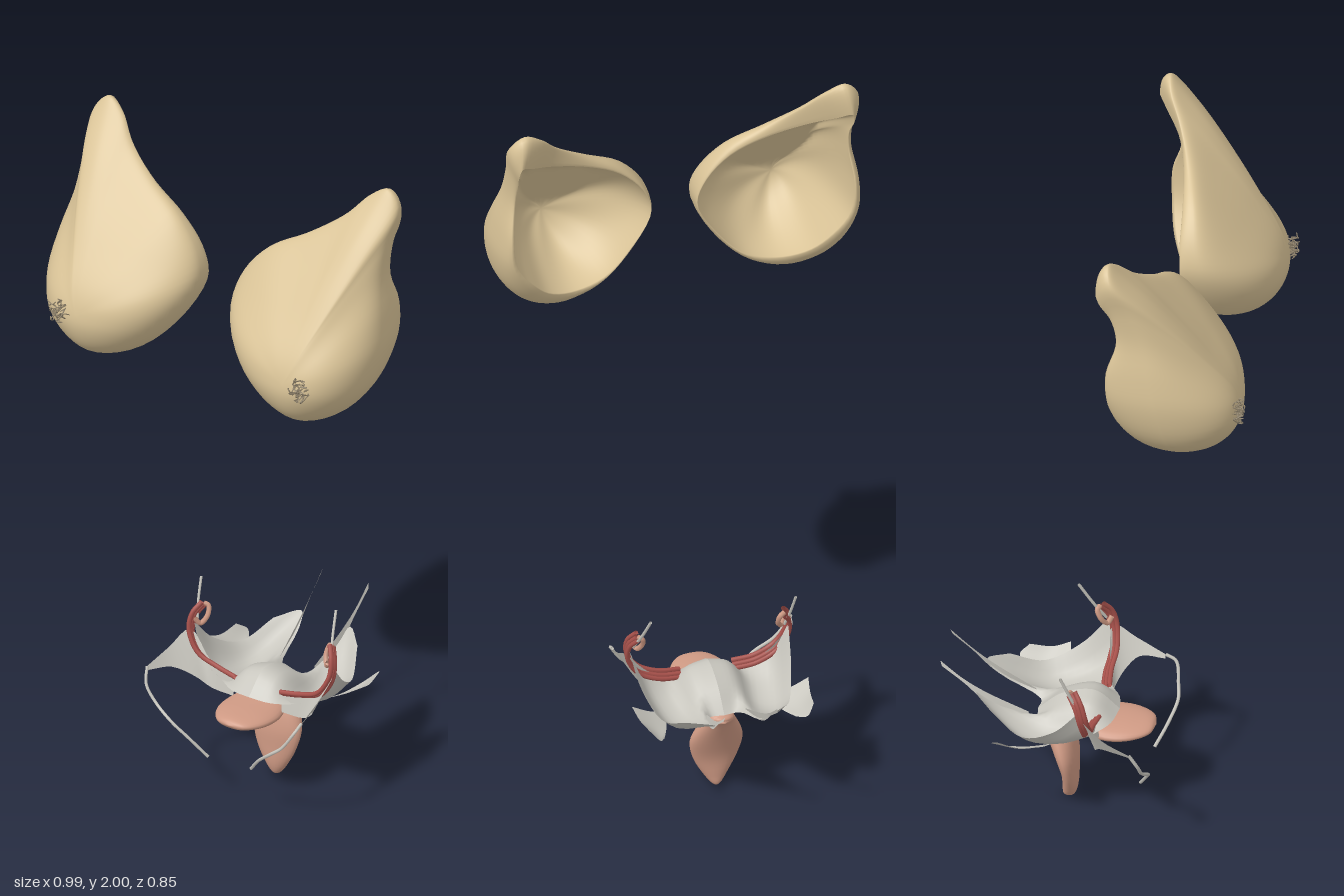
import * as THREE from 'three';
import { mergeVertices } from 'three/addons/utils/BufferGeometryUtils.js';

const V = (p) => new THREE.Vector3(...p);
const mat = (color) => new THREE.MeshStandardMaterial({ color, side: THREE.DoubleSide });
const tan = mat(0xd9c397), duct = mat(0x8d8069), sheet = mat(0xc8c6be);
const salmon = mat(0xcf9a84), red = mat(0xa9524c);
const MID = -0.03; // midline of the lower organs

function mesh(name, geometry, material) {
  const m = new THREE.Mesh(geometry, material);
  m.name = name;
  return m;
}

// Smooth surface from a grid of rows of Vector3
function surface(rows) {
  const n = rows[0].length, pos = [], idx = [];
  rows.forEach((r) => r.forEach((p) => pos.push(p.x, p.y, p.z)));
  for (let i = 0; i < rows.length - 1; i++) {
    for (let j = 0; j < n - 1; j++) {
      const a = i * n + j, b = a + n;
      idx.push(a, a + 1, b, b, a + 1, b + 1);
    }
  }
  let g = new THREE.BufferGeometry();
  g.setAttribute('position', new THREE.Float32BufferAttribute(pos, 3));
  g.setIndex(idx);
  g = mergeVertices(g, 1e-5);
  g.computeVertexNormals();
  return g;
}

// Spline patch through a coarse grid of control points
function patch(ctrl, nu = 14, nv = 16) {
  const rows = ctrl.map((r) => new THREE.CatmullRomCurve3(r.map(V)).getPoints(nu));
  return surface(rows[0].map((_, j) => new THREE.CatmullRomCurve3(rows.map((r) => r[j])).getPoints(nv)));
}

// Closed body through ellipses [x, y, z, rx, r2]; r2 lies along y or z
function loft(sections, across) {
  const rows = [];
  for (let k = 0; k <= 28; k++) {
    const a = (k / 28) * Math.PI * 2;
    const line = sections.map(([x, y, z, rx, r2]) => {
      const s = Math.sin(a) * r2;
      return V([x + Math.cos(a) * rx, y + (across === 'y' ? s : 0), z + (across === 'z' ? s : 0)]);
    });
    rows.push(new THREE.CatmullRomCurve3(line).getPoints(32));
  }
  return surface(rows);
}

const tube = (pts, r, seg = 24) =>
  new THREE.TubeGeometry(new THREE.CatmullRomCurve3(pts.map(V)), seg, r, 6);

// Gland: widest outline (x, y, z) paired with the rim of its hollow back (x, y, z)
const GLAND = [
  [0.432, 2.0, 0.075, 0.445, 1.92, 0.045],
  [0.47, 1.96, 0.085, 0.452, 1.89, 0.055],
  [0.464, 1.87, 0.125, 0.447, 1.84, 0.085],
  [0.465, 1.78, 0.16, 0.45, 1.77, 0.1],
  [0.485, 1.68, 0.19, 0.46, 1.68, 0.075],
  [0.493, 1.59, 0.21, 0.45, 1.59, 0.075],
  [0.47, 1.49, 0.23, 0.40, 1.515, 0.09],
  [0.41, 1.415, 0.24, 0.345, 1.46, 0.12],
  [0.32, 1.377, 0.25, 0.27, 1.435, 0.15],
  [0.215, 1.41, 0.25, 0.19, 1.455, 0.162],
  [0.12, 1.50, 0.24, 0.12, 1.525, 0.17],
  [0.058, 1.63, 0.22, 0.063, 1.63, 0.17],
  [0.075, 1.71, 0.205, 0.085, 1.705, 0.165],
  [0.14, 1.79, 0.19, 0.15, 1.775, 0.16],
  [0.24, 1.85, 0.16, 0.245, 1.825, 0.145],
  [0.33, 1.915, 0.12, 0.345, 1.865, 0.115],
  [0.385, 1.975, 0.085, 0.41, 1.9, 0.07],
];

// Foremost depth of the gland, as (height, depth)
const FRONT = new THREE.SplineCurve([[1.3, 0.41], [1.45, 0.41], [1.53, 0.408], [1.6, 0.385], [1.7, 0.32],
  [1.8, 0.255], [1.9, 0.19], [2.0, 0.11]].map((p) => new THREE.Vector2(...p))).getPoints(140);
const frontAt = (y) => {
  const i = Math.max(1, FRONT.findIndex((p) => p.x >= y));
  const a = FRONT[i - 1], b = FRONT[i];
  return THREE.MathUtils.mapLinear(Math.min(y, 2), a.x, b.x, a.y, b.y);
};

function gland(side) {
  const N = 72, closed = (o) =>
    new THREE.CatmullRomCurve3(GLAND.map((p) => V(p.slice(o, o + 3))), true).getPoints(N);
  const outer = closed(0), rim = closed(3);
  const apex = V([0.32, 1.54, 0.41]), pit = V([0.31, 1.58, 0.34]);
  const tail = (o) => THREE.MathUtils.smoothstep(o.y, 1.7, 2.0);
  const rows = [];
  // front dome
  for (let k = 0; k <= 28; k++) {
    const s = Math.sin((k / 28) * Math.PI / 2);
    rows.push(outer.map((o) => {
      const p = apex.clone().lerp(o, s);
      const h = Math.sqrt(Math.max(0, 1 - Math.pow(s, 2.4 + 1.6 * tail(o))));
      p.z = o.z + (Math.max(frontAt(p.y), o.z) - o.z) * h;
      return p;
    }));
  }
  // side wall rolling back to the rim
  for (let k = 1; k <= 8; k++) {
    const t = k / 8;
    rows.push(outer.map((o, j) => {
      const p = o.clone().lerp(rim[j], t * t);
      p.z = o.z + (rim[j].z - o.z) * Math.sin(t * Math.PI / 2);
      return p;
    }));
  }
  // hollow back with faint folds
  for (let k = 1; k <= 20; k++) {
    const s = Math.cos((k / 20) * Math.PI / 2);
    rows.push(rim.map((r, j) => {
      const p = pit.clone().lerp(r, s);
      const fold = 0.03 * Math.sin((j / N) * Math.PI * 18) * s * s * (1 - s);
      p.z = r.z + (pit.z - r.z) * Math.pow(1 - s * s, 0.7 + 0.5 * tail(r)) + fold;
      p.z = Math.min(p.z, frontAt(p.y) - 0.045);
      return p;
    }));
  }
  rows.forEach((r) => r.forEach((p) => { p.x *= side; }));
  const g = new THREE.Group();
  g.name = side > 0 ? 'leftGland' : 'rightGland';
  g.add(mesh('glandShell', surface(rows), tan));

  // tangle of fine ducts at the tip
  let seed = 7;
  const rnd = () => ((seed = (seed * 16807) % 2147483647) / 2147483647) - 0.5;
  for (let i = 0; i < 20; i++) {
    const a = i * 2.4, r = 0.006 + 0.024 * (i / 20);
    const c = [0.372 + Math.cos(a) * r, 1.535 + Math.sin(a) * r, 0.408];
    const pts = [0, 1, 2, 3].map(() =>
      [side * (c[0] + rnd() * 0.022), c[1] + rnd() * 0.022, c[2] + rnd() * 0.03]);
    g.add(mesh('duct', tube(pts, 0.0016, 14), duct));
  }
  return g;
}

// Everything paired on one side of the midline; points are given as distance from it
function wing(side, tip, cord, thread) {
  const at = ([d, y, z]) => [MID + side * d, y, z];
  const grid = (rows) => patch(rows.map((r) => r.map(at)));
  const g = new THREE.Group();
  g.name = side > 0 ? 'leftWing' : 'rightWing';

  g.add(mesh('broadSheet', grid([
    [[0, 0.295, 0.03], [0, 0.345, -0.035], [0, 0.325, -0.12], [0, 0.268, -0.185]],
    [[0.06, 0.29, 0.018], [0.055, 0.33, -0.04], [0.05, 0.31, -0.12], [0.038, 0.27, -0.185]],
    [[0.115, 0.29, -0.015], [0.105, 0.272, -0.08], [0.09, 0.262, -0.16], [0.06, 0.32, -0.3]],
    [[0.175, 0.325, -0.022], [0.16, 0.28, -0.09], [0.135, 0.262, -0.19], [0.075, 0.35, -0.335]],
    [[0.215, 0.42, -0.04], [0.202, 0.34, -0.11], [0.172, 0.295, -0.2], [0.13, 0.335, -0.285]],
  ]), sheet));

  g.add(mesh('frontSheet', grid([
    [[0.07, 0.305, -0.02], [0.075, 0.255, -0.01]],
    [[0.15, 0.325, -0.025], [0.14, 0.258, -0.01]],
    [[0.22, 0.40, -0.03], [0.18, 0.29, 0.01]],
    [[(0.23 + tip[0]) / 2, 0.365, 0.03], [(0.19 + tip[0]) / 2, 0.32, 0.045]],
    [tip, [tip[0] - 0.005, tip[1] - 0.01, tip[2]]],
  ]), sheet));

  g.add(mesh('sideFlap', grid([
    [[0.14, 0.262, -0.12], [0.155, 0.255, -0.18], [0.178, 0.265, -0.24]],
    [[0.19, 0.285, -0.135], [0.19, 0.27, -0.2], [0.2, 0.285, -0.272]],
    [[0.238, 0.315, -0.145], [0.23, 0.30, -0.19], [0.222, 0.305, -0.25]],
  ]), sheet));

  // tube along the upper edge with its curled end
  const path = [[0.07, 0.305, -0.02], [0.13, 0.315, -0.026], [0.185, 0.34, -0.022],
    [0.217, 0.395, -0.028], [0.215, 0.44, -0.04], [0.198, 0.47, -0.06]];
  [[0, 0], [0.008, 0.009], [-0.007, -0.007]].forEach(([dy, dz]) =>
    g.add(mesh('tube', tube(path.map(([d, y, z]) => at([d, y + dy, z + dz])), 0.0065), red)));
  g.add(mesh('curledEnd', tube([[0.198, 0.47, -0.06], [0.187, 0.465, -0.065], [0.183, 0.44, -0.055],
    [0.195, 0.42, -0.04], [0.205, 0.435, -0.03]].map(at), 0.007), salmon));

  // fine ligaments
  g.add(mesh('roundCord', tube([tip, ...cord].map(at), 0.0045, 40), sheet));
  g.add(mesh('upperThread', tube(thread.map(at), 0.004), sheet));
  g.add(mesh('rearRibbon', grid([
    [[0.058, 0.27, -0.2], [0.052, 0.29, -0.2]],
    [[0.068, 0.32, -0.31], [0.063, 0.345, -0.31]],
    [[0.071, 0.375, -0.37], [0.068, 0.384, -0.37]],
    [[0.073, 0.42, -0.425], [0.07, 0.435, -0.43]],
  ]), sheet));
  return g;
}

export function createModel() {
  const model = new THREE.Group();
  model.name = 'anatomyModel';
  model.add(gland(1), gland(-1));

  // flattened organ lying forward
  model.add(mesh('bladder', loft([
    [MID, 0.257, 0.126, 0, 0], [MID, 0.256, 0.115, 0.042, 0.012], [MID, 0.253, 0.07, 0.074, 0.021],
    [MID, 0.25, 0.01, 0.082, 0.025], [MID, 0.252, -0.06, 0.062, 0.025],
    [MID, 0.25, -0.12, 0.038, 0.022], [MID, 0.245, -0.17, 0.03, 0.016], [MID, 0.244, -0.19, 0, 0],
  ], 'y'), salmon));

  // rounded body beneath the sheet
  const uterus = mesh('uterus', new THREE.SphereGeometry(1, 28, 18), salmon);
  uterus.scale.set(0.07, 0.035, 0.045);
  uterus.position.set(MID, 0.288, -0.04);
  model.add(uterus);

  // leaf-shaped canal hanging below
  model.add(mesh('canal', loft([
    [MID, 0.262, -0.165, 0, 0], [MID, 0.252, -0.16, 0.028, 0.026], [MID, 0.22, -0.135, 0.046, 0.034],
    [MID, 0.15, -0.11, 0.071, 0.03], [MID, 0.09, -0.1, 0.06, 0.022],
    [MID, 0.035, -0.1, 0.032, 0.02], [MID, 0.008, -0.104, 0.012, 0.014], [MID, 0, -0.105, 0, 0],
  ], 'z'), salmon));

  model.add(
    wing(-1, [0.265, 0.34, 0.105],
      [[0.255, 0.30, 0.125], [0.225, 0.26, 0.13], [0.17, 0.22, 0.137], [0.125, 0.18, 0.125], [0.08, 0.125, 0.1]],
      [[0.205, 0.42, -0.04], [0.215, 0.47, -0.06], [0.222, 0.53, -0.085]]),
    wing(1, [0.215, 0.325, 0.11],
      [[0.212, 0.31, 0.138], [0.18, 0.26, 0.15], [0.15, 0.235, 0.155], [0.1, 0.19, 0.137], [0.06, 0.14, 0.11]],
      [[0.205, 0.43, -0.045], [0.19, 0.48, -0.075], [0.177, 0.545, -0.112]]),
  );
  return model;
}
